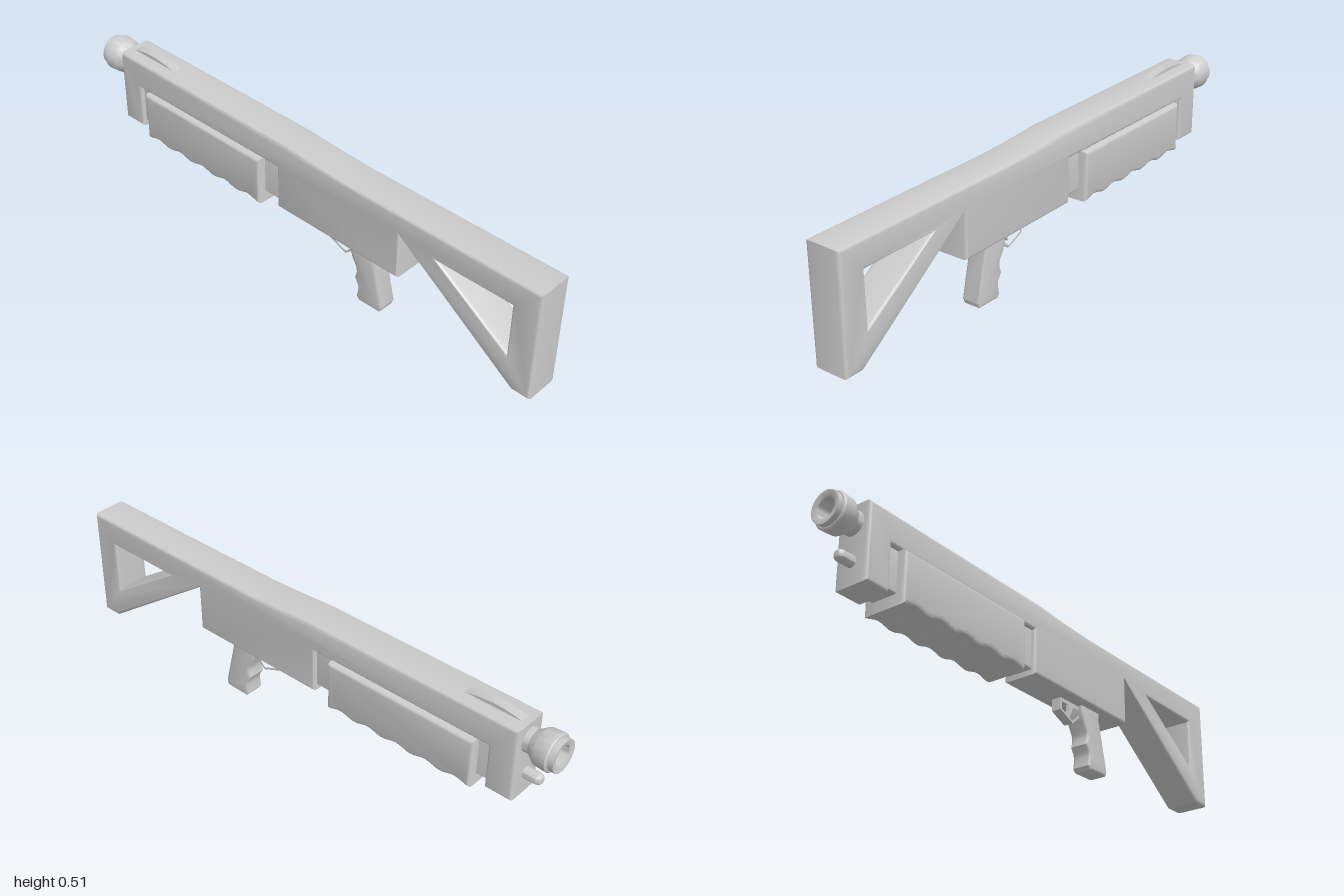
import * as THREE from 'three';
import { toCreasedNormals } from 'three/addons/utils/BufferGeometryUtils.js';

const material = new THREE.MeshStandardMaterial({ color: 0xcccccc });
const points = (list) => list.map(([z, y]) => new THREE.Vector2(z, y));

// Side profile given as (z, y), extruded across x to the given half width
function sidePart(name, outline, halfWidth, bevel, hole) {
  const shape = new THREE.Shape(points(outline));
  if (hole) shape.holes.push(new THREE.Path(points(hole)));
  const depth = 2 * (halfWidth - bevel);
  const geometry = new THREE.ExtrudeGeometry(shape, {
    depth, bevelEnabled: bevel > 0, bevelThickness: bevel, bevelSize: bevel,
    bevelOffset: -bevel, bevelSegments: 3, curveSegments: 8,
  });
  geometry.translate(0, 0, -depth / 2);
  geometry.rotateY(-Math.PI / 2);
  const mesh = new THREE.Mesh(toCreasedNormals(geometry, 0.6), material);
  mesh.name = name;
  return mesh;
}

// Profile given as (radius, distance), turned around an axis pointing to -z
function turnedPart(name, profile, y, z) {
  const geometry = new THREE.LatheGeometry(points(profile), 32);
  geometry.rotateX(-Math.PI / 2);
  const mesh = new THREE.Mesh(toCreasedNormals(geometry, 0.6), material);
  mesh.name = name;
  mesh.position.set(0, y, z);
  return mesh;
}

export function createModel() {
  const model = new THREE.Group();
  model.name = 'shotgun';

  // Receiver, top cover and skeleton stock in one piece
  model.add(sidePart('bodyAndStock', [
    [1, 0.06], [1, 0.48], [0.22, 0.48], [0.1, 0.485], [-0.05, 0.495], [-0.88, 0.5],
    [-0.88, 0.225], [-0.78, 0.225], [-0.78, 0.39], [-0.08, 0.39], [-0.08, 0.225],
    [0.46, 0.225], [0.46, 0.398], [0.93, 0.06],
  ], 0.066, 0.012, [[0.9, 0.382], [0.9, 0.19], [0.61, 0.385]]));

  // Narrow core behind the pump
  model.add(sidePart('pumpRail', [
    [-0.06, 0.245], [-0.06, 0.41], [-0.8, 0.41], [-0.8, 0.245],
  ], 0.05, 0.006));

  // Sliding pump with a rippled underside
  const pump = [[-0.152, 0.39], [-0.738, 0.39]];
  const steps = 40;
  for (let i = 0; i <= steps; i++) {
    const t = i / steps;
    pump.push([-0.738 + 0.586 * t, 0.21 - 0.006 * Math.cos(t * Math.PI * 10)]);
  }
  model.add(sidePart('pump', pump, 0.083, 0.013));

  // Pistol grip with finger grooves
  model.add(sidePart('pistolGrip', [
    [0.335, 0.24], [0.33, 0.205], [0.373, 0.02], [0.366, 0.002], [0.275, 0],
    [0.264, 0.014], [0.27, 0.05], [0.267, 0.066], [0.253, 0.09], [0.26, 0.115],
    [0.258, 0.135], [0.238, 0.17], [0.228, 0.205], [0.225, 0.24],
  ], 0.036, 0.008));

  // Trigger guard and trigger
  model.add(sidePart('triggerGuard', [
    [0.245, 0.225], [0.235, 0.185], [0.195, 0.15], [0.125, 0.18], [0.125, 0.225],
  ], 0.018, 0, [[0.235, 0.212], [0.227, 0.19], [0.194, 0.159], [0.133, 0.185], [0.133, 0.212]]));
  model.add(sidePart('trigger', [
    [0.215, 0.225], [0.2, 0.19], [0.188, 0.17], [0.183, 0.173], [0.19, 0.195], [0.192, 0.225],
  ], 0.008, 0));

  // Low arched front sight
  model.add(sidePart('frontSight', [
    [-0.63, 0.49], [-0.65, 0.499], [-0.7, 0.508], [-0.75, 0.513], [-0.79, 0.512],
    [-0.83, 0.506], [-0.87, 0.497], [-0.87, 0.49],
  ], 0.017, 0));

  // Flared hollow muzzle
  model.add(turnedPart('muzzle', [
    [0.042, 0], [0.042, 0.03], [0.06, 0.055], [0.063, 0.06], [0.063, 0.105],
    [0.058, 0.11], [0.054, 0.11], [0.054, 0.13], [0.05, 0.13], [0.036, 0.125],
    [0.036, 0.03], [0, 0.03],
  ].map(([r, d]) => (d >= 0.105 && r > 0.053 ? [r + 0.003, d] : [r, d])), 0.436, -0.87));

  // Round-nosed magazine rod under the barrel
  const rod = [[0.02, 0]];
  for (let i = 0; i <= 6; i++) {
    const a = (i / 6) * Math.PI / 2;
    rod.push([0.02 * Math.cos(a), 0.055 + 0.02 * Math.sin(a)]);
  }
  model.add(turnedPart('magazineRod', rod, 0.306, -0.87));

  return model;
}
